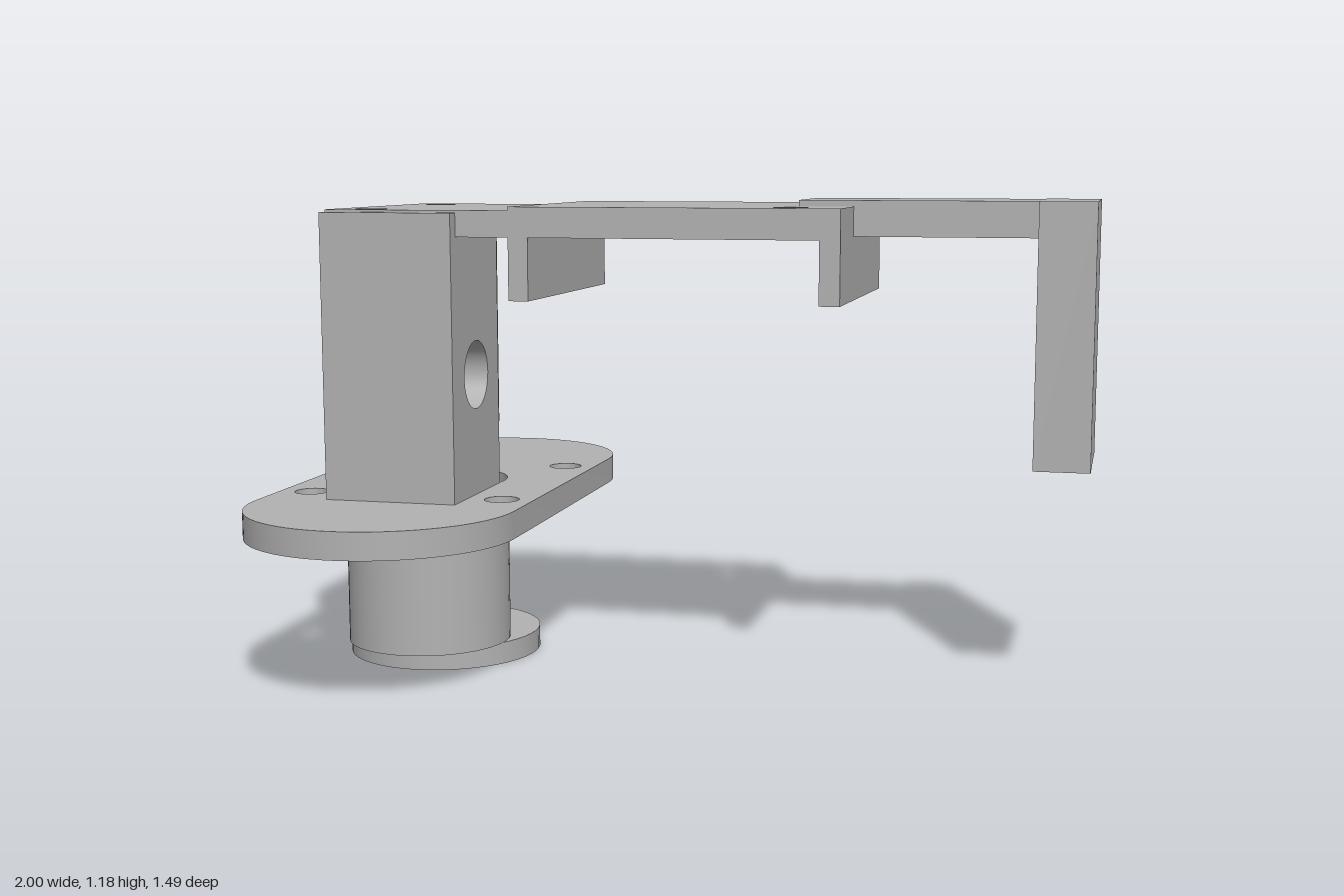
import * as THREE from 'three';
import { toCreasedNormals } from 'three/addons/utils/BufferGeometryUtils.js';

const grey = new THREE.MeshStandardMaterial({ color: 0xb2b2b2 });
grey.name = 'grey plastic';

const AXIS_X = -0.667; // motor and mount axis

export function createModel() {
  const model = new THREE.Group();
  model.name = 'servoArm';

  const add = (name, geometry, parent = model) => {
    const mesh = new THREE.Mesh(geometry, grey);
    mesh.name = name;
    parent.add(mesh);
    return mesh;
  };

  // box given by its limits on each axis
  const box = (name, x0, x1, y0, y1, z0, z1, parent) => {
    const mesh = add(name, new THREE.BoxGeometry(x1 - x0, y1 - y0, z1 - z0), parent);
    mesh.position.set((x0 + x1) / 2, (y0 + y1) / 2, (z0 + z1) / 2);
    return mesh;
  };

  const rectangle = (x0, x1, y0, y1) => new THREE.Shape([
    new THREE.Vector2(x0, y0), new THREE.Vector2(x1, y0),
    new THREE.Vector2(x1, y1), new THREE.Vector2(x0, y1),
  ]);

  const drill = (shape, x, y, r) => {
    shape.holes.push(new THREE.Path().absarc(x, y, r, 0, Math.PI * 2, true));
  };

  const extrude = (shape, depth) => toCreasedNormals(
    new THREE.ExtrudeGeometry(shape, { depth, bevelEnabled: false, curveSegments: 24 }), 0.6);

  // horizontal plate between two heights; shape y becomes -z
  const plate = (name, shape, y0, y1, parent) =>
    add(name, extrude(shape, y1 - y0).rotateX(-Math.PI / 2).translate(0, y0, 0), parent);

  // round base flange with a shaft bore
  const flange = new THREE.Shape().absarc(AXIS_X, 0, 0.248, 0, Math.PI * 2, false);
  drill(flange, AXIS_X, 0, 0.067);
  plate('baseFlange', flange, 0, 0.055);

  // motor body, offset forward, with its cable stub at the back
  add('motorBody', new THREE.CylinderGeometry(0.207, 0.207, 0.333, 48))
    .position.set(AXIS_X, 0.2215, 0.115);
  const stub = add('cableStub', new THREE.CylinderGeometry(0.04, 0.04, 0.3, 24));
  stub.rotation.x = Math.PI / 2;
  stub.position.set(AXIS_X, 0.305, -0.168);

  // stadium mounting plate with a central opening and four screw holes
  const R = 0.333, C = 0.412;
  const stadium = new THREE.Shape();
  stadium.absarc(AXIS_X, C, R, 0, Math.PI, false);
  stadium.absarc(AXIS_X, -C, R, Math.PI, Math.PI * 2, false);
  drill(stadium, AXIS_X, 0, 0.167);
  for (const dx of [-0.252, 0.252]) {
    for (const z of [-0.266, 0.266]) drill(stadium, AXIS_X + dx, z, 0.043);
  }
  plate('mountingPlate', stadium, 0.385, 0.452);

  // tower block with a blind hole in its inner side
  const tower = new THREE.Group();
  tower.name = 'tower';
  model.add(tower);
  box('towerBack', -0.835, -0.7, 0.452, 1.155, 0.035, 0.368, tower);
  const face = rectangle(-0.368, -0.035, 0.452, 1.155); // shape x becomes -z
  drill(face, -0.2, 0.752, 0.085);
  add('towerFront', extrude(face, 0.2).rotateY(Math.PI / 2).translate(-0.7, 0, 0), tower);
  box('towerRib', -0.702, -0.638, 0.555, 1.118, -0.365, 0.036, tower);

  // top plate over the tower
  const cover = rectangle(-0.835, -0.368, -0.333, 0.333);
  for (const z of [-0.233, 0.233]) drill(cover, -0.752, z, 0.043);
  plate('towerCover', cover, 1.097, 1.161);

  // middle bracket with a downward lip at each end
  const bracket = new THREE.Group();
  bracket.name = 'bracket';
  model.add(bracket);
  const top = rectangle(-0.368, 0.43, -0.333, 0.333);
  for (const z of [-0.233, 0.233]) drill(top, 0.297, z, 0.041);
  plate('bracketTop', top, 1.097, 1.17, bracket);
  for (const x of [-0.368, 0.381]) {
    box('bracketLip', x, x + 0.049, 0.946, 1.097, -0.333, 0.333, bracket);
  }

  // arm and gripping finger
  box('fingerArm', 0.298, 0.868, 1.099, 1.185, -0.133, 0.133);
  box('finger', 0.866, 1.0, 0.554, 1.185, -0.167, 0.167);

  return model;
}
